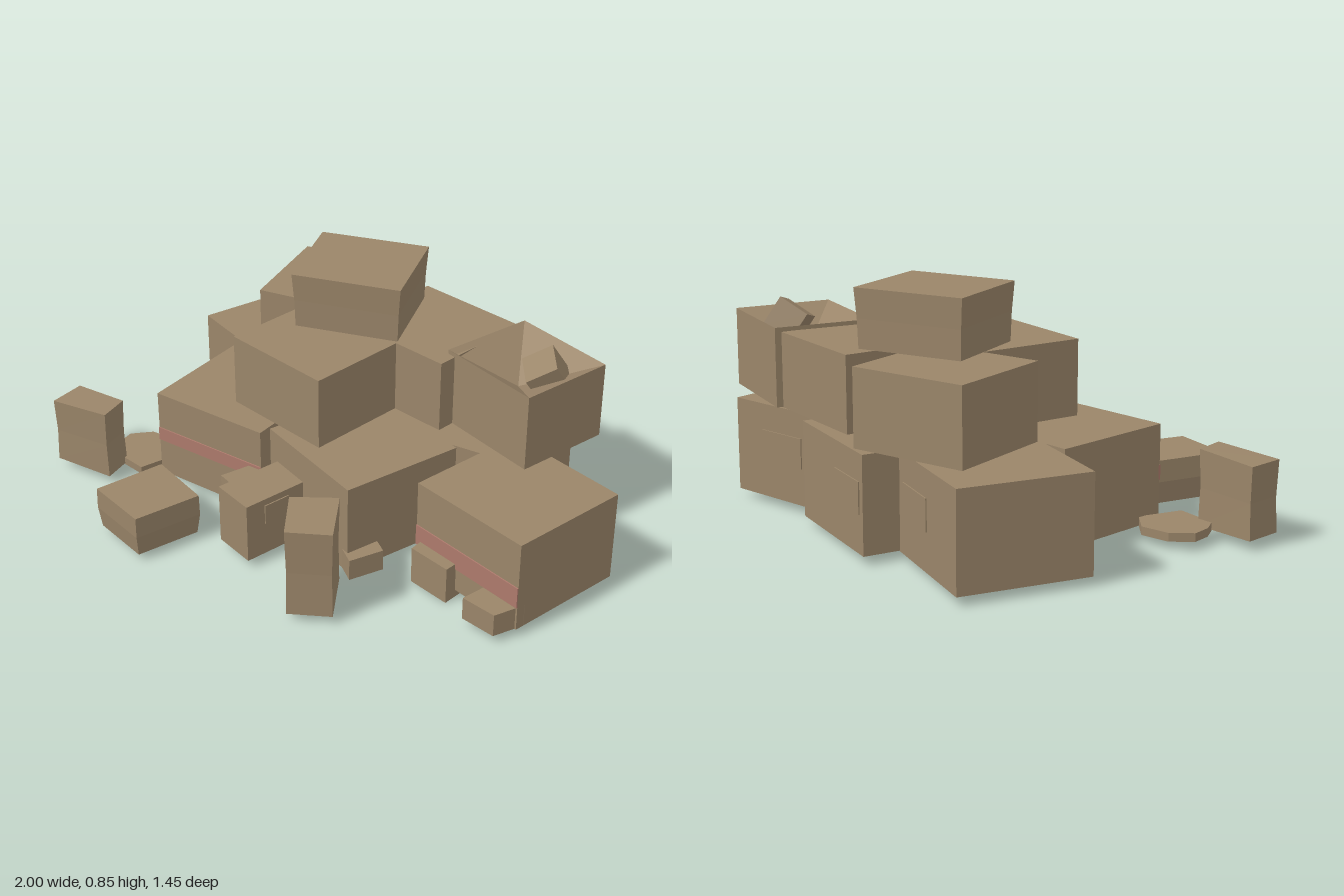
import * as THREE from 'three';

const card = new THREE.MeshStandardMaterial({ name: 'cardboard', color: 0x9a8569, side: THREE.DoubleSide });
const tape = new THREE.MeshStandardMaterial({ name: 'pinkTape', color: 0xad7a6c });

// Box whose plan is a quad of [x, z] corners: back left, back right, front right, front left.
// pinch narrows the middle, base narrows the bottom.
function carton(name, c, y0, y1, { pinch = 1, base = 1, lean = 0 } = {}) {
  const g = new THREE.BoxGeometry(1, 1, 1, 1, pinch === 1 ? 1 : 2, 1);
  const p = g.attributes.position;
  const cx = c.reduce((s, q) => s + q[0], 0) / 4;
  const cz = c.reduce((s, q) => s + q[1], 0) / 4;
  for (let i = 0; i < p.count; i++) {
    const u = p.getX(i), v = p.getY(i), w = p.getZ(i);
    const q = w < 0 ? (u < 0 ? c[0] : c[1]) : (u < 0 ? c[3] : c[2]);
    const k = v < 0 && v < -0.1 ? base : v > 0.1 ? 1 : pinch;
    const y = y0 + (y1 - y0) * (v + 0.5) + lean * u * (v + 0.5);
    p.setXYZ(i, cx + (q[0] - cx) * k, y, cz + (q[1] - cz) * k);
  }
  const flat = g.toNonIndexed();
  flat.computeVertexNormals();
  const m = new THREE.Mesh(flat, card);
  m.name = name;
  return m;
}

// Thin plate on the wall standing over the plan edge a-b, between fractions t0 and t1.
function plate(name, a, b, t0, t1, y0, y1, material) {
  const dx = b[0] - a[0], dz = b[1] - a[1], t = (t0 + t1) / 2;
  const m = new THREE.Mesh(
    new THREE.BoxGeometry(Math.hypot(dx, dz) * (t1 - t0), y1 - y0, 0.009), material);
  m.position.set(a[0] + dx * t, (y0 + y1) / 2, a[1] + dz * t);
  m.rotation.y = Math.atan2(-dz, dx);
  m.name = name;
  return m;
}

// Crate with no lid and flaps sagging to a low point
function openCarton(c, y0, y1) {
  const group = new THREE.Group();
  group.name = 'openCarton';
  const walls = carton('openCartonWalls', c, y0, y1);
  const src = walls.geometry.attributes.position.array;
  const g = new THREE.BufferGeometry();
  // drop the top face, which is the third of six
  g.setAttribute('position', new THREE.Float32BufferAttribute([...src.slice(0, 36), ...src.slice(54)], 3));
  g.computeVertexNormals();
  walls.geometry = g;
  group.add(walls);
  const low = [0.47, y1 - 0.13, -0.43];
  c.forEach((a, i) => {
    const b = c[(i + 1) % 4];
    const f = new THREE.BufferGeometry();
    f.setAttribute('position', new THREE.Float32BufferAttribute(
      [a[0], y1, a[1], ...low, b[0], y1, b[1]], 3));
    f.computeVertexNormals();
    const flap = new THREE.Mesh(f, card);
    flap.name = 'saggingFlap' + (i + 1);
    group.add(flap);
  });
  // small box poking out
  const scrap = new THREE.Mesh(new THREE.BoxGeometry(0.12, 0.12, 0.12), card);
  scrap.position.set(0.585, 0.617, -0.435);
  scrap.rotation.set(0.35, 0.75, 0.3);
  scrap.name = 'tiltedSmallBox';
  group.add(scrap);
  return group;
}

export function createModel() {
  const model = new THREE.Group();
  model.name = 'boxPile';
  const Y0 = 0.03, Y1 = 0.37, Y2 = 0.64;

  // Bottom layer
  const bottom = {
    backRight: [[-0.835, -0.705], [-0.385, -0.605], [-0.49, -0.155], [-0.94, -0.255]],
    backMiddle: [[-0.36, -0.73], [0.12, -0.66], [0.055, -0.21], [-0.425, -0.28]],
    backLeft: [[0.08, -0.58], [0.545, -0.68], [0.645, -0.22], [0.18, -0.12]],
    sideLeft: [[0.52, -0.36], [1, -0.3], [0.94, 0.155], [0.46, 0.1]],
    frontRight: [[-0.69, -0.17], [-0.21, -0.22], [-0.16, 0.235], [-0.635, 0.293]],
    frontMiddle: [[-0.06, -0.26], [0.415, -0.16], [0.315, 0.295], [-0.155, 0.19]],
  };
  for (const [n, c] of Object.entries(bottom)) model.add(carton(n + 'BottomBox', c, Y0, Y1));

  // Middle layer
  const middle = {
    right: [[-0.695, -0.58], [-0.28, -0.71], [-0.15, -0.315], [-0.567, -0.185]],
    back: [[-0.125, -0.637], [0.32, -0.62], [0.295, -0.21], [-0.14, -0.225]],
    front: [[-0.355, -0.28], [0.083, -0.255], [0.06, 0.165], [-0.38, 0.138]],
  };
  for (const [n, c] of Object.entries(middle)) model.add(carton(n + 'MiddleBox', c, Y1, Y2));
  model.add(openCarton([[0.33, -0.64], [0.733, -0.57], [0.675, -0.21], [0.265, -0.285]], Y1, 0.655));

  // Top box, slightly dented
  model.add(carton('topBox', [[-0.44, -0.395], [-0.065, -0.565], [0.09, -0.225], [-0.28, -0.06]],
    Y2, 0.848, { pinch: 0.965, base: 0.95 }));

  // Loose boxes on the ground
  const loose = [
    ['farRightBox', [[-1, 0.365], [-0.775, 0.345], [-0.745, 0.46], [-0.985, 0.505]], 0.035, 0.297, { pinch: 0.96, lean: 0.015 }],
    ['frontLowBox', [[-0.49, 0.42], [-0.24, 0.47], [-0.295, 0.72], [-0.54, 0.685]], 0.025, 0.183, { pinch: 1.01, base: 0.94 }],
    ['tallNarrowBox', [[0.19, 0.45], [0.32, 0.34], [0.45, 0.515], [0.32, 0.61]], 0.03, 0.365, { pinch: 0.95, base: 0.98 }],
    ['centreSmallBox', [[-0.11, 0.19], [0.05, 0.225], [0.015, 0.482], [-0.15, 0.455]], Y0, 0.255],
    ['centreSideBox', [[-0.2, 0.2], [-0.07, 0.22], [-0.11, 0.385], [-0.24, 0.358]], Y0, 0.215],
    ['tinyBoxMiddle', [[0.3, 0.15], [0.395, 0.2], [0.35, 0.325], [0.25, 0.27]], Y0, 0.11],
    ['tinyBoxSide', [[0.48, 0.04], [0.655, 0.06], [0.652, 0.17], [0.485, 0.155]], 0, 0.14],
    ['tinyBoxLeft', [[0.79, 0.1], [0.945, 0.12], [0.905, 0.233], [0.77, 0.228]], Y0, 0.115],
  ];
  for (const [n, c, a, b, o] of loose) model.add(carton(n, c, a, b, o));

  // Flattened scrap of card
  const scrap = new THREE.Shape([[-0.885, 0.23], [-0.87, 0.3], [-0.83, 0.357], [-0.675, 0.362],
    [-0.638, 0.2], [-0.725, 0.135], [-0.83, 0.16]].map(([x, z]) => new THREE.Vector2(x, -z)));
  const sheet = new THREE.Mesh(new THREE.ExtrudeGeometry(scrap, { depth: 0.03, bevelEnabled: false }), card);
  sheet.rotation.x = -Math.PI / 2;
  sheet.position.y = Y0;
  sheet.name = 'flattenedBox';
  model.add(sheet);

  // Tape bands on two front faces
  model.add(plate('tapeRight', bottom.frontRight[3], bottom.frontRight[2], 0, 1, 0.173, 0.225, tape));
  model.add(plate('tapeLeft', bottom.sideLeft[3], bottom.sideLeft[2], 0, 1, 0.12, 0.2, tape));

  // Plain label plates
  const label = (n, c, i, j, t0, t1, y0 = 0.165, y1 = 0.275) =>
    model.add(plate(n, c[i], c[j], t0, t1, y0, y1, card));
  label('labelSide', bottom.sideLeft, 0, 1, 0.08, 0.5);
  label('labelBackLeft', bottom.backLeft, 0, 1, 0.3, 0.72);
  label('labelBackMiddle', bottom.backMiddle, 0, 1, 0.05, 0.45);
  label('labelBackRight', bottom.backRight, 0, 1, 0.5, 0.92);
  label('labelCentre', loose[3][1], 1, 2, 0.3, 0.7, 0.155, 0.23);
  return model;
}
